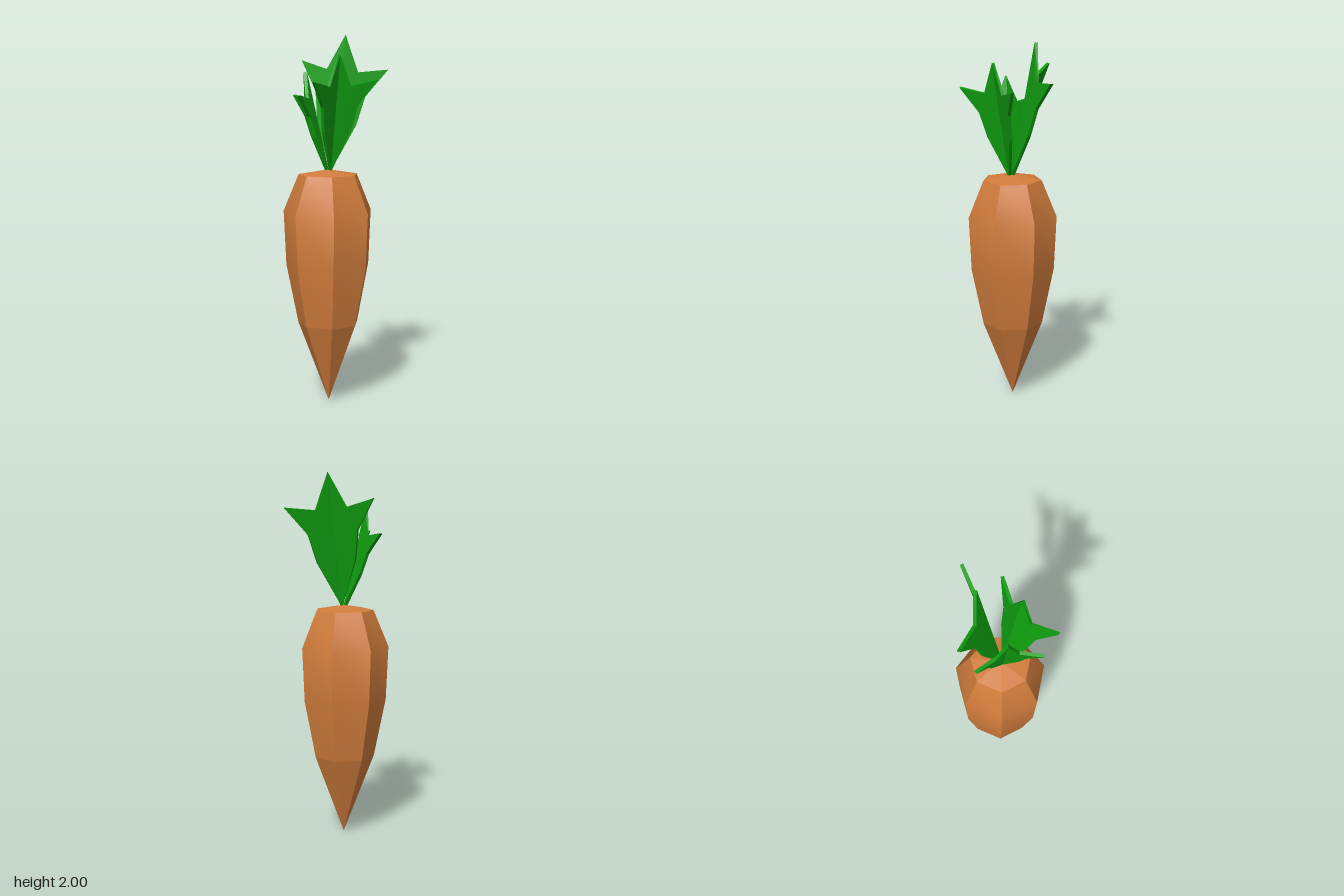
import * as THREE from 'three';
import { toCreasedNormals } from 'three/addons/utils/BufferGeometryUtils.js';

const V = (x, y, z) => new THREE.Vector3(x, y, z);
const SIDES = 7;
const HALF_THICKNESS = 0.009;

// Half-leaf outline as weights of the (rib, side tip) directions, from the base round to the rib tip
const OUTLINE = [[0, 0], [0.01, 0.44], [0.125, 0.566], [0, 1], [0.465, 0.349], [1, 0]];
const NOTCH = 4;

// Folded leaf of two flat, thick halves that share a rib
function leafGeometry(base, ribTip, leftTip, rightTip) {
  const rib = ribTip.clone().sub(base);
  const halves = [[rightTip, 1], [leftTip, -1]].map(([tip, sign]) => {
    const side = tip.clone().sub(base);
    const normal = side.clone().cross(rib).multiplyScalar(sign).normalize();
    return { side, normal, sign };
  });
  const ribNormal = halves[0].normal.clone().add(halves[1].normal).normalize();
  const positions = [];

  for (const { side, normal, sign } of halves) {
    const layer = (offset) => OUTLINE.map(([u, v]) =>
      base.clone().addScaledVector(rib, u).addScaledVector(side, v)
        .addScaledVector(v === 0 ? ribNormal : normal, offset));
    const outer = layer(HALF_THICKNESS);
    const inner = layer(-HALF_THICKNESS);
    const tri = (a, b, c) => {
      for (const p of sign > 0 ? [a, b, c] : [a, c, b]) positions.push(p.x, p.y, p.z);
    };
    // Both faces, fanned from the notch
    for (const [i, j] of [[5, 0], [0, 1], [1, 2], [2, 3]]) {
      tri(outer[NOTCH], outer[i], outer[j]);
      tri(inner[NOTCH], inner[j], inner[i]);
    }
    // Rim
    for (let i = 0; i < OUTLINE.length - 1; i++) {
      tri(outer[i], inner[i], inner[i + 1]);
      tri(outer[i], inner[i + 1], outer[i + 1]);
    }
  }
  const geometry = new THREE.BufferGeometry();
  geometry.setAttribute('position', new THREE.Float32BufferAttribute(positions, 3));
  geometry.computeVertexNormals();
  return geometry;
}

export function createModel() {
  const group = new THREE.Group();
  group.name = 'carrot';
  const orange = new THREE.MeshStandardMaterial({ color: 0xd27d3c });
  const green = new THREE.MeshStandardMaterial({ color: 0x0f9d0f });

  const add = (parent, name, geometry, material) => {
    const mesh = new THREE.Mesh(geometry, material);
    mesh.name = name;
    parent.add(mesh);
    return mesh;
  };

  // Root: seven-sided body, pointed tip and shallow crown
  const root = new THREE.Group();
  root.name = 'root';
  root.position.set(-0.06, 0, 0.023);
  group.add(root);

  const profile = [[0.168, 0.44], [0.232, 0.76], [0.245, 1.055], [0.162, 1.255]]
    .map(([r, y]) => new THREE.Vector2(r, y));
  const body = new THREE.LatheGeometry(profile, SIDES, Math.PI);
  add(root, 'rootBody', toCreasedNormals(body, 0.6), orange);

  const flat = (geometry) => toCreasedNormals(geometry, 0.1);
  const tip = new THREE.CylinderGeometry(0.168, 0, 0.44, SIDES, 1, true, Math.PI);
  add(root, 'rootTip', flat(tip), orange).position.y = 0.22;
  const crown = new THREE.ConeGeometry(0.162, 0.028, SIDES, 1, true, Math.PI);
  add(root, 'rootCrown', flat(crown), orange).position.y = 1.269;

  // Leaves: base, rib tip, left tip, right tip (seen from outside)
  const leaves = [
    ['frontLeaf', V(-0.06, 1.27, 0.038), V(-0.07, 1.89, 0.145), V(-0.265, 1.75, 0.208), V(0.135, 1.76, 0.194)],
    ['tallLeaf', V(-0.053, 1.27, 0.028), V(0.08, 1.995, -0.022), V(0.293, 1.81, 0.07), V(-0.06, 1.86, -0.242)],
    ['smallLeaf', V(-0.068, 1.27, 0.025), V(-0.17, 1.8, -0.032), V(-0.135, 1.675, -0.207), V(-0.287, 1.68, 0.1)],
  ];
  for (const [name, ...points] of leaves) add(group, name, leafGeometry(...points), green);

  return group;
}
